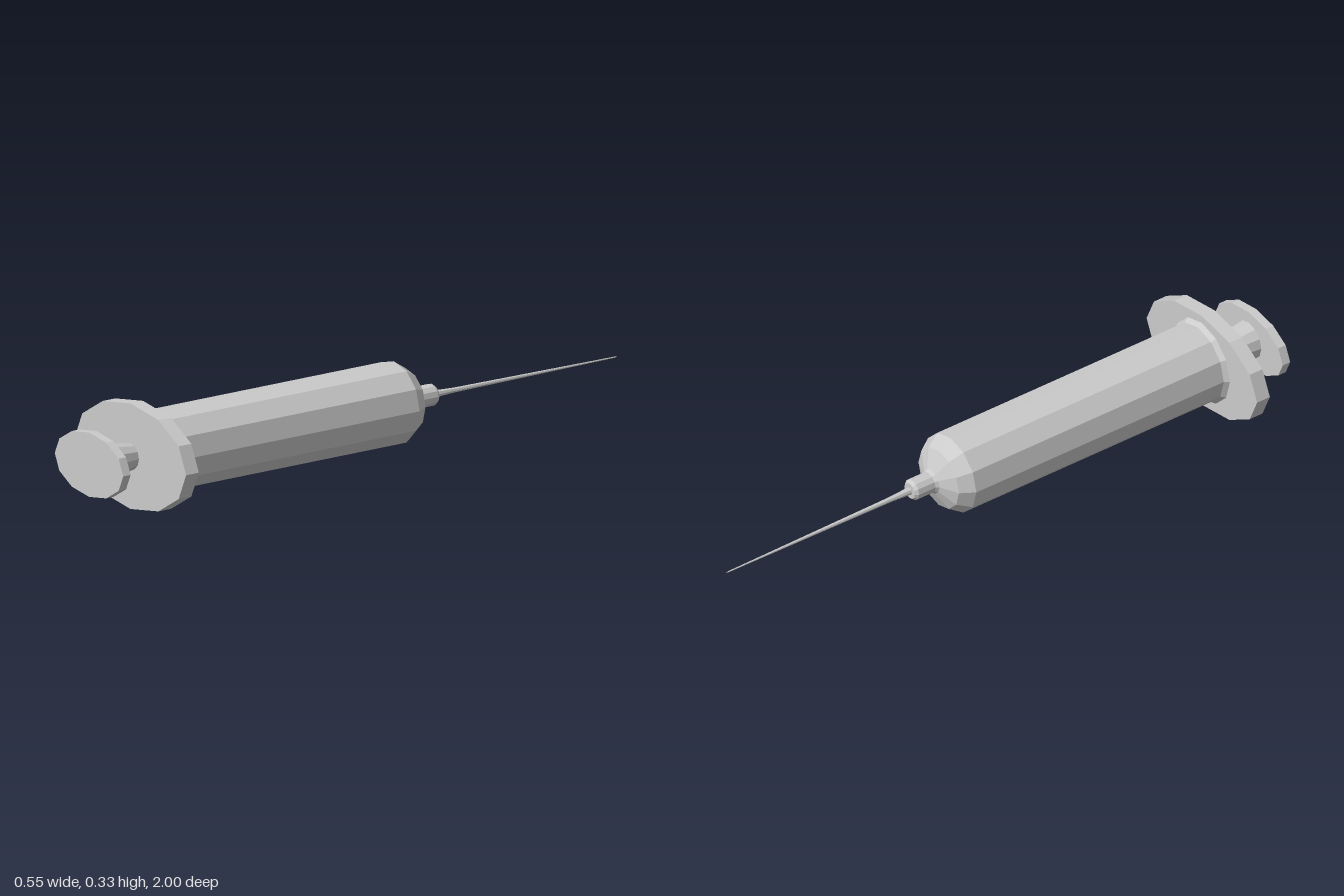
import * as THREE from 'three';

const AXIS_Y = 0.164; // height of the long axis
const material = new THREE.MeshStandardMaterial({ color: 0xcccccc, flatShading: true });

// Turned part along z; profile is [radius, z] from the needle end to the plunger end.
function turned(name, profile, sides = 12, sx = 1, sy = 1) {
  const points = profile.map(([r, z]) => new THREE.Vector2(r, z));
  const geometry = new THREE.LatheGeometry(points, sides);
  geometry.rotateX(Math.PI / 2);
  geometry.scale(sx, sy, 1);
  const mesh = new THREE.Mesh(geometry, material);
  mesh.name = name;
  mesh.position.y = AXIS_Y;
  return mesh;
}

// Flat twelve-sided oval plate
function ovalPlate(name, rx, ry, z0, z1) {
  return turned(name, [[0, z0], [1, z0], [1, z1], [0, z1]], 12, rx, ry);
}

export function createModel() {
  const group = new THREE.Group();
  group.name = 'syringe';

  // Barrel with domed shoulder and a small flare at the flange
  group.add(turned('barrel', [
    [0, -0.225], [0.04, -0.225], [0.1, -0.197], [0.128, -0.153],
    [0.128, 0.78], [0.14, 0.797], [0, 0.797],
  ]));

  // Needle hub
  group.add(turned('needleHub', [
    [0, -0.307], [0.026, -0.307], [0.034, -0.297], [0.034, -0.235], [0.042, -0.222], [0, -0.222],
  ]));

  // Needle, tapering to a fine point
  group.add(turned('needle', [
    [0, -1], [0.002, -0.99], [0.008, -0.38], [0.012, -0.305], [0, -0.305],
  ], 8));

  // Finger flange
  group.add(ovalPlate('fingerFlange', 0.273, 0.164, 0.795, 0.843));

  // Plunger rod and thumb rest
  group.add(turned('plungerRod', [[0, 0.84], [0.041, 0.84], [0.062, 0.972], [0, 0.972]]));
  group.add(ovalPlate('thumbRest', 0.168, 0.1, 0.972, 1));

  return group;
}
